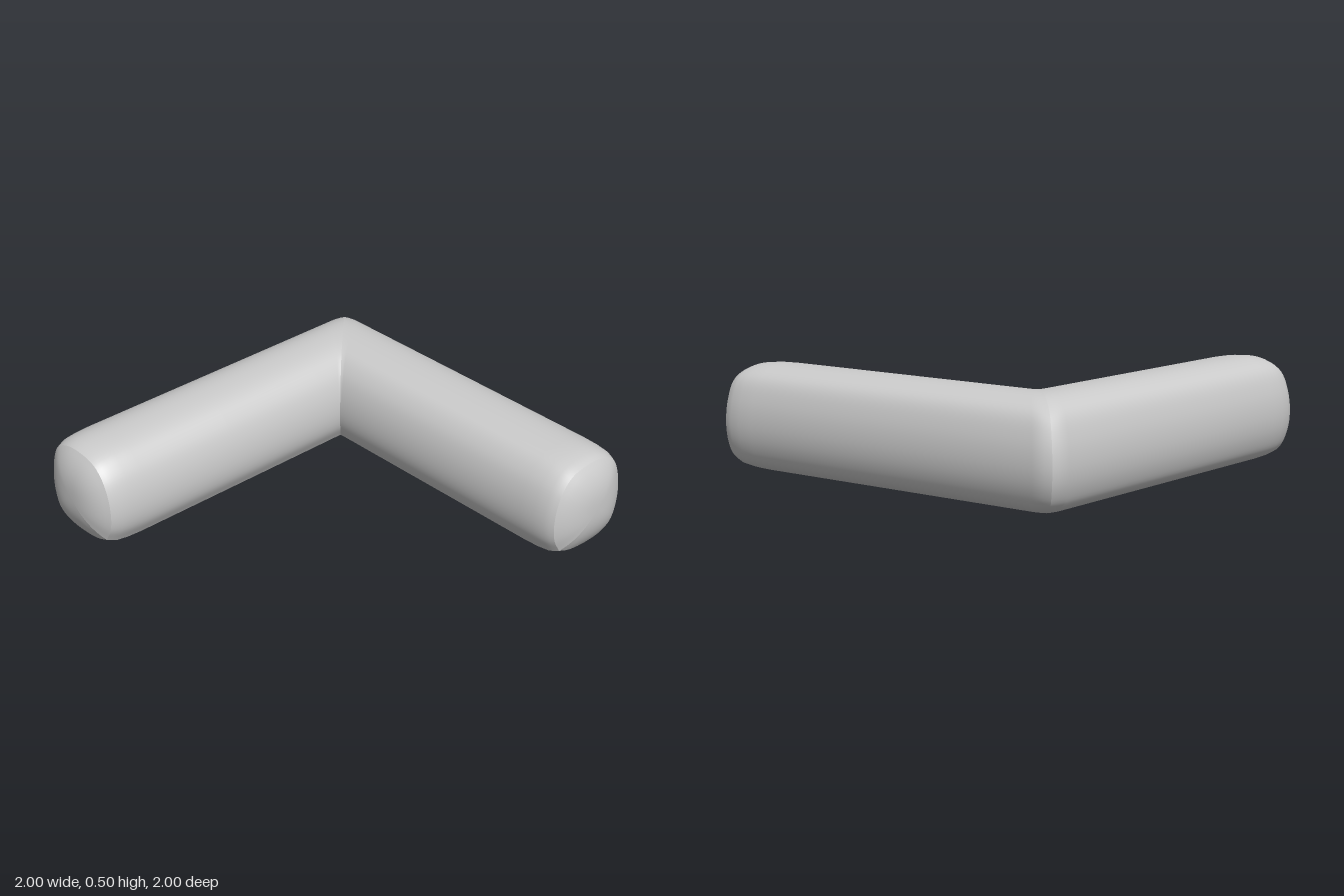
import * as THREE from 'three';

// Cushion cross-section: u = distance from the outer side, y = height.
// It starts and ends at the creased lower inner edge.
const SECTION = new THREE.CatmullRomCurve3([
  [0.45, 0.04], [0.492, 0.12], [0.505, 0.21], [0.49, 0.32], [0.45, 0.41], [0.38, 0.475],
  [0.25, 0.5], [0.14, 0.487], [0.06, 0.44], [0.015, 0.34], [0, 0.22], [0.015, 0.12],
  [0.05, 0.05], [0.12, 0.012], [0.25, 0], [0.37, 0.012], [0.45, 0.04],
].map(([u, y]) => new THREE.Vector3(u, y, 0))).getPoints(80);

const CENTRE = 0.25;

// Skin a list of equal loops; flip reverses the faces for the mirrored arm
function skin(rings, flip) {
  const n = rings[0].length;
  const index = [];
  for (let i = 0; i < rings.length - 1; i++) {
    for (let j = 0; j < n - 1; j++) {
      const a = i * n + j, b = a + 1, c = a + n, d = c + 1;
      if (flip) index.push(a, c, b, b, c, d);
      else index.push(a, b, c, b, d, c);
    }
  }
  const geometry = new THREE.BufferGeometry();
  geometry.setAttribute('position', new THREE.Float32BufferAttribute(rings.flat(2), 3));
  geometry.setIndex(index);
  geometry.computeVertexNormals();
  return geometry;
}

// Place a section point: across the arm (u), up (y), along the arm (s)
const place = (u, y, s, flip) => (flip ? [s, y, u - 1] : [u - 1, y, s]);

function createArm(name, flip, material) {
  const arm = new THREE.Group();
  arm.name = name;

  // Section scaled about its centre
  const ring = (k, s) => SECTION.map((p) =>
    place(CENTRE + (p.x - CENTRE) * k, CENTRE + (p.y - CENTRE) * k, s, flip));

  // Mitred start with a softened outer corner
  const mitre = [0, 0.4, 0.75, 1].map((t) => SECTION.map((p) => {
    const outer = 1 - p.x / 0.505;
    const u = p.x + 0.02 * outer * (1 - t) ** 2;
    return place(u, p.y, u - 1 + t * (0.1 * outer + 0.01), flip);
  }));

  // Straight run, tapering into the end seam
  const run = [[1, -0.4], [1, 0.2], [1, 0.74], [0.99, 0.82], [0.965, 0.88], [0.925, 0.91], [0.89, 0.93]]
    .map(([k, s]) => ring(k, s));
  const body = new THREE.Mesh(skin([...mitre, ...run], flip), material);
  body.name = name + 'Body';

  // Domed end panel
  const dome = [];
  for (let i = 0; i <= 10; i++) {
    const r = 1 - i / 10;
    dome.push(ring(0.89 * r, 0.93 + 0.065 * (1 - r ** 2.6)));
  }
  const end = new THREE.Mesh(skin(dome, flip), material);
  end.name = name + 'EndPanel';

  arm.add(body, end);
  return arm;
}

export function createModel() {
  const material = new THREE.MeshStandardMaterial({ color: 0xcccccc, roughness: 0.8 });
  const model = new THREE.Group();
  model.name = 'cornerBolster';
  model.add(createArm('sideArm', false, material), createArm('backArm', true, material));
  return model;
}
